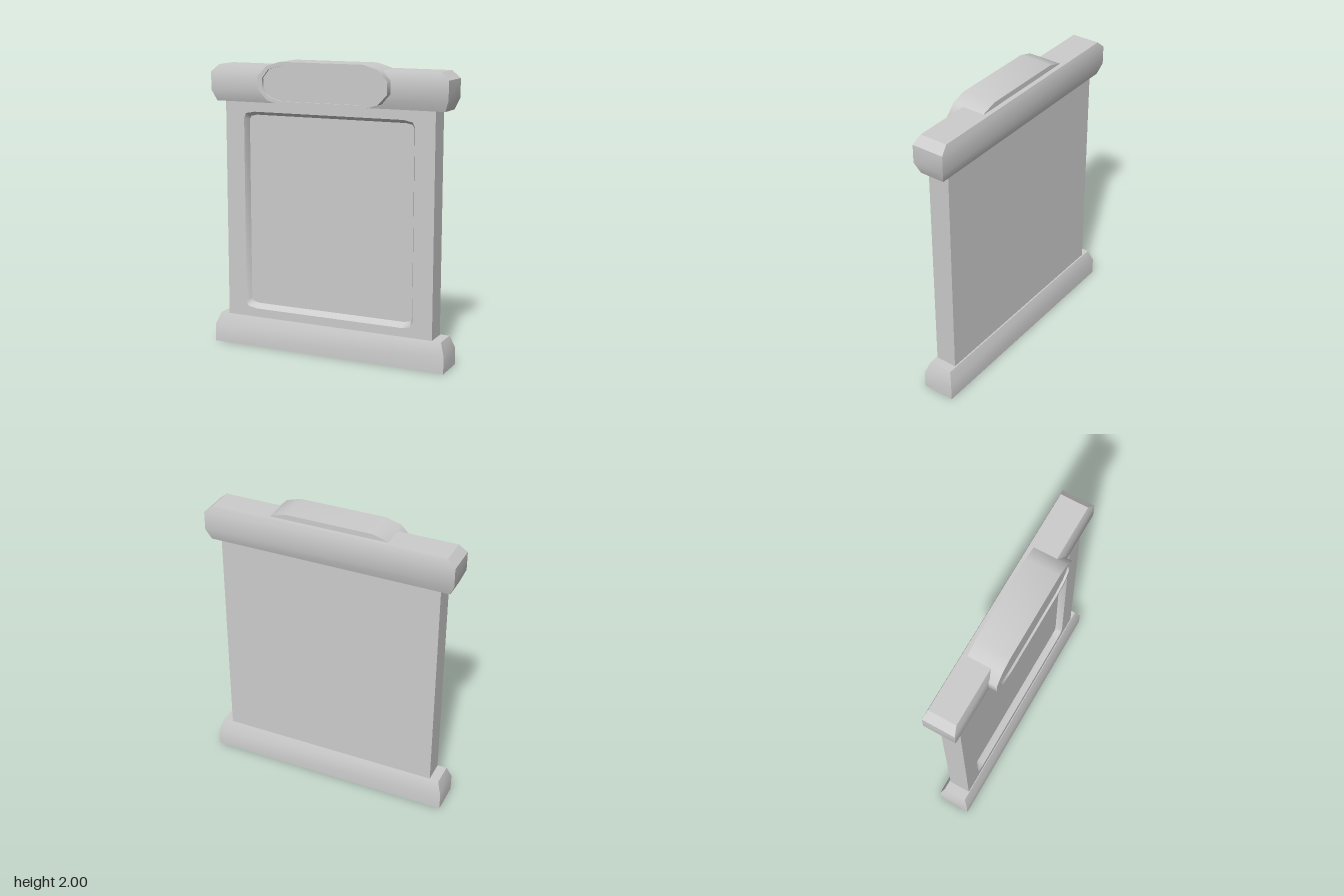
import * as THREE from 'three';
import { toCreasedNormals } from 'three/addons/utils/BufferGeometryUtils.js';

// Skins a stack of rings with equal point counts; optional fan caps at either end.
function loft(rings, { start = false, end = false, crease = 0.6 } = {}) {
  const pos = [];
  const tri = (a, b, c) => pos.push(...a, ...b, ...c);
  const n = rings[0].length;
  for (let r = 0; r + 1 < rings.length; r++) {
    for (let i = 0; i < n; i++) {
      const j = (i + 1) % n;
      const [a, b, c, d] = [rings[r][i], rings[r][j], rings[r + 1][j], rings[r + 1][i]];
      tri(a, b, c);
      tri(a, c, d);
    }
  }
  const first = rings[0], last = rings[rings.length - 1];
  for (let i = 1; i + 1 < n; i++) {
    if (start) tri(first[0], first[i + 1], first[i]);
    if (end) tri(last[0], last[i], last[i + 1]);
  }
  const g = new THREE.BufferGeometry();
  g.setAttribute('position', new THREE.Float32BufferAttribute(pos, 3));
  return toCreasedNormals(g, crease);
}

// Mirrors one corner's points into a full counter-clockwise outline.
function outline(corner, cy) {
  const back = [...corner].reverse();
  return [
    ...corner.map(([x, y]) => [x, cy + y]),
    ...back.map(([x, y]) => [-x, cy + y]),
    ...corner.map(([x, y]) => [-x, cy - y]),
    ...back.map(([x, y]) => [x, cy - y]),
  ];
}
const atZ = (pts, z) => pts.map(([x, y]) => [x, y, z]);

// Horizontal rectangle: half width, front z, back z at height y.
const slab = ([y, w, f, b]) => [[-w, y, f], [w, y, f], [w, y, b], [-w, y, b]];

export function createModel() {
  const model = new THREE.Group();
  const stone = new THREE.MeshStandardMaterial({ color: 0xcccccc });
  stone.name = 'pale grey';
  const add = (name, geometry) => {
    const mesh = new THREE.Mesh(geometry, stone);
    mesh.name = name;
    model.add(mesh);
  };

  // Base and top beam with tapered edges
  add('base', loft([
    [0, 0.86, 0.085, -0.14],
    [0.12, 0.86, 0.085, -0.14],
    [0.205, 0.83, 0.055, -0.11],
  ].map(slab), { start: true, end: true }));
  add('topBeam', loft([
    [1.715, 0.83, 0.055, -0.115],
    [1.79, 0.86, 0.083, -0.14],
    [1.915, 0.86, 0.083, -0.14],
    [1.965, 0.805, 0.065, -0.127],
  ].map(slab), { start: true, end: true }));

  // Panel sides and back
  const zFront = 0.05, zFloor = 0.005, zBack = -0.1;
  const rect = [[-0.765, 0.2], [0.765, 0.2], [0.765, 1.72], [-0.765, 1.72]];
  add('panelBody', loft([atZ(rect, zBack), atZ(rect, zFront)], { start: true }));

  // Front border around the recess
  const mouth = outline([[0.625, 0.645], [0.61, 0.68], [0.545, 0.6925]], 0.9575);
  const floor = outline([[0.605, 0.63], [0.592, 0.655], [0.55, 0.665]], 0.96);
  const toVec = ([x, y]) => new THREE.Vector2(x, y);
  const border = new THREE.Shape(rect.map(toVec));
  border.holes.push(new THREE.Path(mouth.map(toVec)));
  add('panelBorder', new THREE.ShapeGeometry(border).translate(0, 0, zFront));

  // Sloped recess walls and sunken floor
  add('panelRecess', loft([atZ(mouth, zFront), atZ(floor, zFloor)], { crease: 1 }));
  add('panelFloor', loft([atZ(floor, zFloor)], { end: true }));

  // Elongated plaque with a shallow sunken face
  const rim = outline([[0.468, 0.043], [0.4, 0.113], [0.3, 0.143]], 1.857);
  const inset = outline([[0.432, 0.034], [0.385, 0.092], [0.29, 0.118]], 1.857);
  add('plaqueBody', loft([atZ(rim, -0.095), atZ(rim, 0.14)], { start: true, crease: 0.9 }));
  add('plaqueRim', loft([atZ(rim, 0.14), atZ(inset, 0.14)]));
  add('plaqueInset', loft([atZ(inset, 0.14), atZ(inset, 0.125)], { crease: 0.9 }));
  add('plaqueFace', loft([atZ(inset, 0.125)], { end: true }));

  return model;
}
